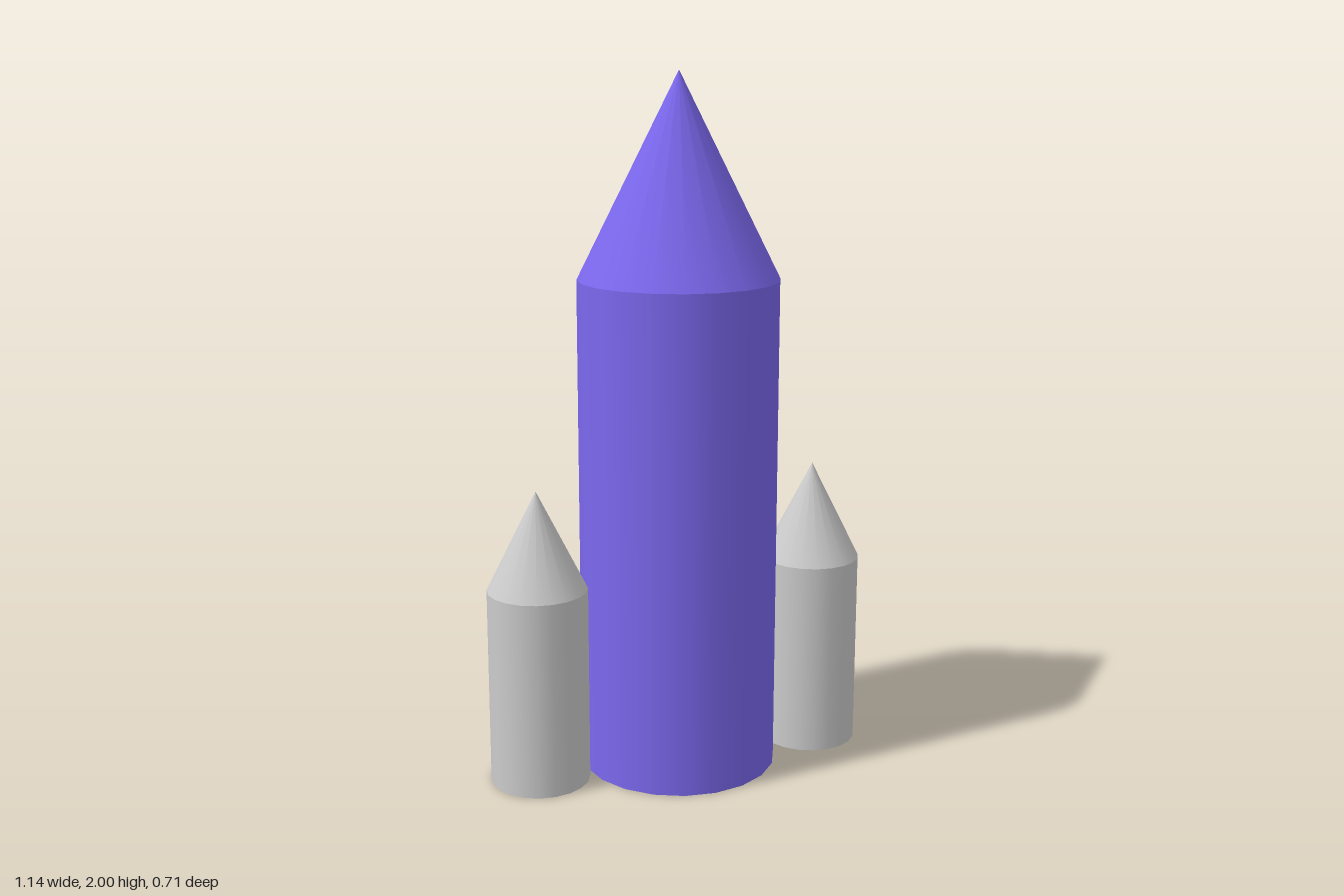
import * as THREE from 'three';

const U = 2 / 7; // hull radius; all other sizes are multiples of it
const SIDES = 20;

// Upright cylinder with a cone on top, standing on y = 0
function makeRocket(name, radius, height, noseHeight, material) {
  const rocket = new THREE.Group();
  rocket.name = name;
  const tube = new THREE.Mesh(new THREE.CylinderGeometry(radius, radius, height, SIDES), material);
  tube.name = name + 'Tube';
  tube.position.y = height / 2;
  const nose = new THREE.Mesh(new THREE.ConeGeometry(radius, noseHeight, SIDES), material);
  nose.name = name + 'Nose';
  nose.position.y = height + noseHeight / 2;
  rocket.add(tube, nose);
  return rocket;
}

export function createModel() {
  const model = new THREE.Group();
  model.name = 'rocket';
  const purple = new THREE.MeshStandardMaterial({ color: 0x7b68ee });
  const grey = new THREE.MeshStandardMaterial({ color: 0xcccccc });
  const slate = new THREE.MeshStandardMaterial({ color: 0x2f4f4f });

  // Main hull, set slightly forward to leave room for the rear pod
  const hull = makeRocket('hull', U, 5 * U, 2 * U, purple);
  hull.position.z = U / 4;
  model.add(hull);

  // Side boosters touching the hull
  for (const [name, side] of [['leftBooster', 1], ['rightBooster', -1]]) {
    const booster = makeRocket(name, U / 2, 2 * U, U, grey);
    booster.position.set(side * 1.5 * U, 0, U / 4);
    model.add(booster);
  }

  // Stretched oval pod half sunk into the back of the hull
  const pod = new THREE.Mesh(new THREE.SphereGeometry(U / 2, SIDES, SIDES), slate);
  pod.name = 'rearPod';
  pod.scale.y = 2;
  pod.position.set(0, 2 * U, -0.75 * U);
  model.add(pod);

  return model;
}
